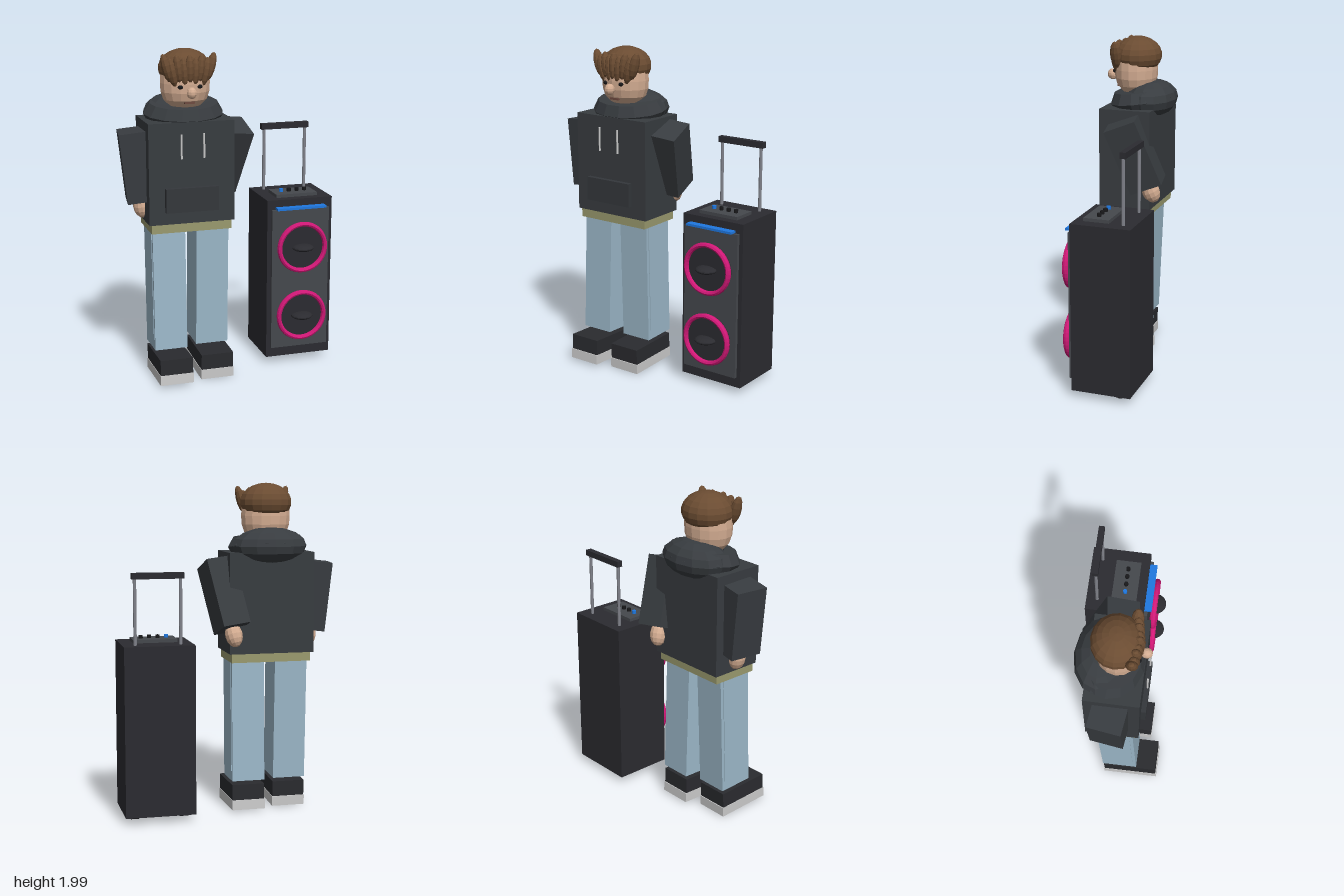
import * as THREE from 'three';

const mat = (color) => new THREE.MeshStandardMaterial({ color, flatShading: true });
const M = {
  hoodie: mat(0x383c40), pocket: mat(0x34373b), skin: mat(0xd4ad92), hair: mat(0x6b4c32),
  denim: mat(0x9cb8c9), belt: mat(0x9a9a6e), shoe: mat(0x2a2b2f), sole: mat(0xd2d2ce),
  dark: mat(0x18181a), cord: mat(0xbdbdbd), cabinet: mat(0x2b2b30), panel: mat(0x45484d),
  pink: mat(0xd01876), blue: mat(0x1f78e0), metal: mat(0x80828a), mouth: mat(0x6e4a40),
};

function add(parent, name, geo, material, x, y, z) {
  const m = new THREE.Mesh(geo, material);
  m.name = name;
  m.position.set(x, y, z);
  parent.add(m);
  return m;
}
const box = (p, name, m, w, h, d, x, y, z) => add(p, name, new THREE.BoxGeometry(w, h, d), m, x, y, z);
const cyl = (p, name, m, r, h, x, y, z, n = 16) => add(p, name, new THREE.CylinderGeometry(r, r, h, n), m, x, y, z);
function ball(p, name, m, rx, ry, rz, x, y, z, n = 12) {
  const s = add(p, name, new THREE.SphereGeometry(1, n, Math.round(n * 0.7)), m, x, y, z);
  s.scale.set(rx, ry, rz);
  return s;
}
function group(parent, name, x, y, z) {
  const g = new THREE.Group();
  g.name = name;
  g.position.set(x, y, z);
  parent.add(g);
  return g;
}

// Leg hung from the hip, with its shoe; side is +1 for the model's left
function leg(parent, name, side, x, swing) {
  const g = group(parent, name, x, 0.95, 0);
  g.rotation.x = swing;
  box(g, 'trouserLeg', M.denim, 0.2, 0.76, 0.22, 0, -0.38, 0);
  box(g, 'sideSeam', M.denim, 0.008, 0.68, 0.18, side * 0.1, -0.36, 0);
  box(g, 'shoeUpper', M.shoe, 0.2, 0.095, 0.34, 0, -0.832, 0.065);
  box(g, 'sole', M.sole, 0.205, 0.06, 0.35, 0, -0.91, 0.065);
}

// Sleeve with a hand at its lower end
function arm(parent, name, pos, rot) {
  const g = group(parent, name, ...pos);
  g.rotation.set(...rot);
  box(g, 'sleeve', M.hoodie, 0.17, 0.42, 0.2, 0, 0, 0);
  ball(g, 'hand', M.skin, 0.052, 0.075, 0.055, 0, -0.25, 0);
}

function buildFigure(root) {
  const f = group(root, 'figure', -0.255, 0, 0);
  leg(f, 'rightLeg', -1, -0.135, -0.04);
  leg(f, 'leftLeg', 1, 0.135, 0.03);
  box(f, 'waistband', M.belt, 0.49, 0.055, 0.29, 0, 0.953, -0.005);
  box(f, 'torso', M.hoodie, 0.52, 0.605, 0.32, 0, 1.283, -0.01);
  box(f, 'pocket', M.pocket, 0.32, 0.145, 0.04, -0.005, 1.128, 0.16);
  for (const s of [-1, 1]) cyl(f, 'drawstring', M.cord, 0.006, 0.145, s * 0.068, 1.448, 0.173, 6);
  arm(f, 'rightArm', [-0.295, 1.315, -0.02], [0, -0.14, 0.11]);
  arm(f, 'leftArm', [0.28, 1.33, -0.085], [0.38, 0.1, -0.17]);

  // Hood: collar ring around the neck and the bunched cloth behind it
  const collar = add(f, 'hoodCollar', new THREE.TorusGeometry(0.165, 0.072, 6, 14), M.hoodie, 0, 1.615, -0.045);
  collar.rotation.x = Math.PI / 2 + 0.14;
  collar.scale.set(1.03, 0.84, 1);
  ball(f, 'hoodBack', M.hoodie, 0.23, 0.112, 0.15, 0, 1.622, -0.1);

  // Head: sides straightened by squaring the ellipsoid a little
  const skull = new THREE.SphereGeometry(1, 16, 10);
  const p = skull.attributes.position;
  for (let i = 0; i < p.count; i++) {
    const y = p.getY(i), k = 1 + 0.35 * y * y * (1 - y * y);
    p.setXYZ(i, p.getX(i) * k, y, p.getZ(i) * k);
  }
  const head = group(f, 'head', 0, 1.8, 0);
  add(head, 'skull', skull, M.skin, 0, 0, 0.002).scale.set(0.15, 0.168, 0.13);
  ball(head, 'nose', M.skin, 0.03, 0.034, 0.034, 0, -0.045, 0.155, 10);
  for (const s of [-1, 1]) ball(head, 'eye', M.dark, 0.017, 0.012, 0.014, s * 0.058, -0.014, 0.12, 8);
  box(head, 'mouth', M.mouth, 0.062, 0.012, 0.02, 0, -0.108, 0.106);

  // Hair: rounded cap and a fan of locks over the forehead
  const hair = group(f, 'hair', 0, 1.88, 0);
  ball(hair, 'hairCap', M.hair, 0.157, 0.115, 0.145, 0, 0.001, -0.008, 16);
  for (let i = -4; i <= 4; i++) {
    const a = Math.abs(i);
    const lock = ball(hair, 'fringeLock', M.hair, 0.029, 0.086, 0.036,
      i * 0.033, a === 4 ? 0.015 : (a % 2 ? -0.012 : 0.004), 0.112 - a * 0.006, 10);
    lock.rotation.z = -i * 0.07;
  }
}

function buildSpeaker(root) {
  const s = group(root, 'speaker', 0.447, 0, 0);
  box(s, 'cabinet', M.cabinet, 0.42, 1.015, 0.362, 0, 0.553, -0.097);
  box(s, 'frontPanel', M.panel, 0.37, 0.89, 0.03, 0, 0.555, 0.09);
  box(s, 'lightStrip', M.blue, 0.315, 0.014, 0.05, 0, 1.01, 0.105);

  // Two drivers
  for (const y of [0.325, 0.765]) {
    const d = group(s, 'driver', 0.001, y, 0);
    cyl(d, 'driverCone', M.cabinet, 0.148, 0.035, 0, 0, 0.118, 32).rotation.x = Math.PI / 2;
    add(d, 'driverRing', new THREE.TorusGeometry(0.147, 0.015, 8, 40), M.pink, 0, 0, 0.138).scale.z = 1.35;
    ball(d, 'dustCap', M.cabinet, 0.068, 0.022, 0.066, 0, 0, 0.145, 16);
  }

  // Control plate and knobs
  box(s, 'controlPlate', M.panel, 0.265, 0.02, 0.155, 0, 1.07, -0.047);
  for (let i = 0; i < 4; i++)
    cyl(s, 'knob', i ? M.dark : M.blue, 0.013, 0.02, -0.077 + i * 0.051, 1.089, -0.045);

  // Pull handle and wheels
  box(s, 'handleGrip', M.cabinet, 0.31, 0.036, 0.036, 0, 1.464, -0.213);
  for (const k of [-1, 1]) {
    cyl(s, 'handlePole', M.metal, 0.01, 0.4, k * 0.135, 1.25, -0.211, 10);
    cyl(s, 'wheel', M.dark, 0.045, 0.05, k * 0.148, 0.066, -0.2, 16).rotation.z = Math.PI / 2;
  }
}

export function createModel() {
  const root = new THREE.Group();
  root.name = 'figureWithSpeaker';
  buildFigure(root);
  buildSpeaker(root);
  return root;
}
